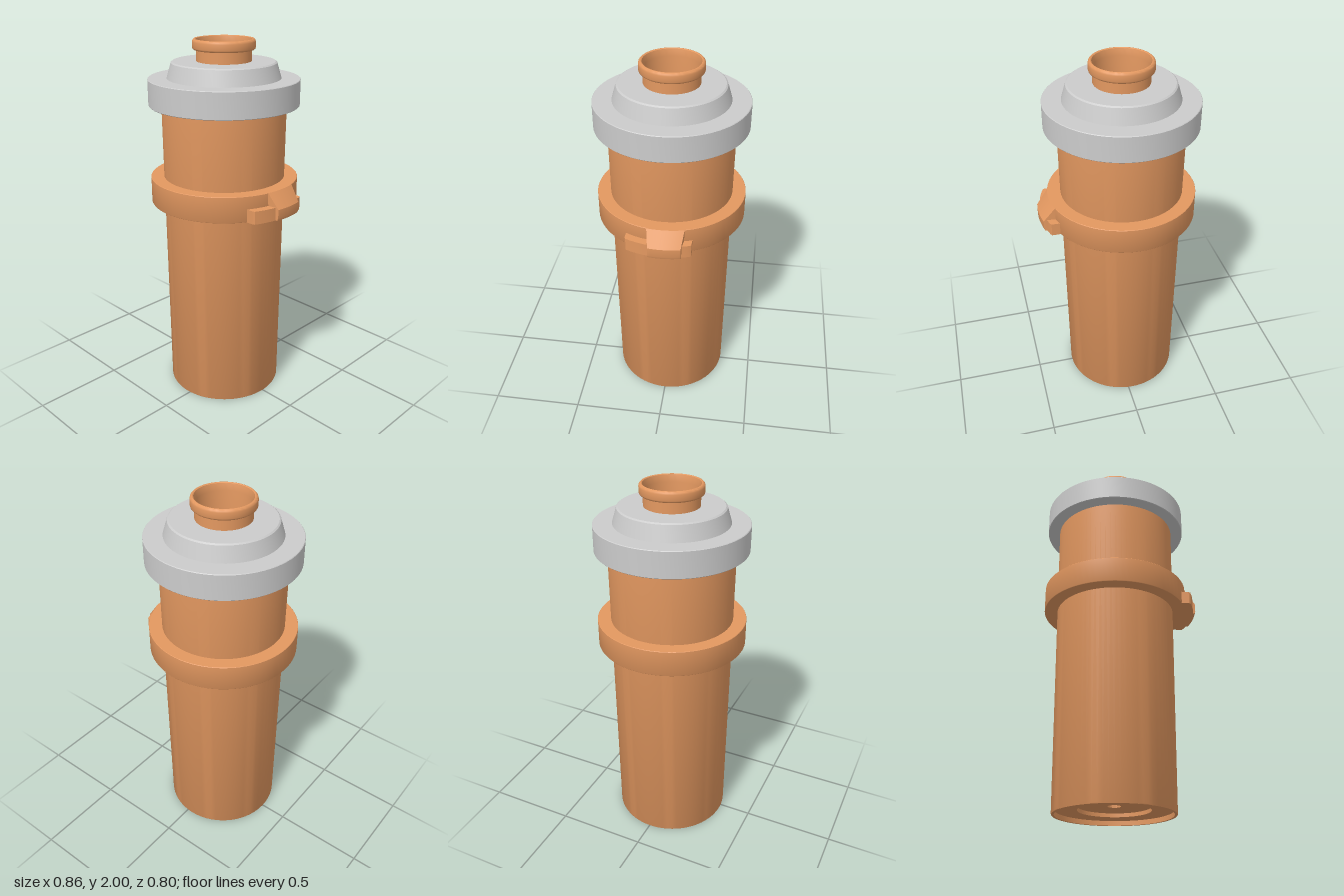
import * as THREE from 'three';
import { toCreasedNormals } from 'three/addons/utils/BufferGeometryUtils.js';

const AXIS_X = -0.03;
const orange = new THREE.MeshStandardMaterial({ color: 0xe39860 });
const grey = new THREE.MeshStandardMaterial({ color: 0xcccccc });

// Turned part from [radius, height] points, outside listed upwards
function turned(name, points, material) {
  const profile = points.map(([r, y]) => new THREE.Vector2(r, y));
  const geometry = toCreasedNormals(new THREE.LatheGeometry(profile, 72), 0.6);
  const mesh = new THREE.Mesh(geometry, material);
  mesh.name = name;
  mesh.position.x = AXIS_X;
  return mesh;
}

// Low curved plate that carries the latch, following the collar
function latchPlate() {
  const r = 0.445, z0 = -0.155, z1 = 0.19;
  const shape = new THREE.Shape();
  shape.moveTo(0.31, -z0);
  shape.lineTo(0.385, -z0);
  for (let i = 0; i <= 14; i++) {
    const z = z0 + 0.01 + (z1 - z0 - 0.015) * i / 14;
    shape.lineTo(AXIS_X + Math.sqrt(r * r - z * z), -z);
  }
  shape.lineTo(0.365, -z1);
  shape.lineTo(0.31, -z1);
  const geometry = new THREE.ExtrudeGeometry(shape, { depth: 0.07, bevelEnabled: false });
  geometry.rotateX(-Math.PI / 2);
  geometry.translate(0, 1.13, 0);
  const mesh = new THREE.Mesh(toCreasedNormals(geometry, 0.4), orange);
  mesh.name = 'latchPlate';
  return mesh;
}

// Sloped latch, bent round the collar and narrowing outwards
function latch() {
  const shape = new THREE.Shape([
    [0.33, 1.13], [0.425, 1.13], [0.43, 1.145], [0.43, 1.19], [0.372, 1.27], [0.33, 1.27],
  ].map(([x, y]) => new THREE.Vector2(x, y)));
  const z0 = -0.117, width = 0.194, R = 0.46;
  const geometry = new THREE.ExtrudeGeometry(shape, { depth: width, steps: 12, bevelEnabled: false });
  const p = geometry.attributes.position;
  for (let i = 0; i < p.count; i++) {
    const x = p.getX(i);
    const z = z0 + width / 2 + (p.getZ(i) - width / 2) * (1 - 2.2 * Math.max(0, x - 0.37));
    p.setX(i, x - (R - Math.sqrt(R * R - z * z)));
    p.setZ(i, z);
  }
  const mesh = new THREE.Mesh(toCreasedNormals(geometry, 0.4), orange);
  mesh.name = 'latch';
  return mesh;
}

export function createModel() {
  const group = new THREE.Group();
  group.name = 'container';
  group.add(
    // Tapered body with a stepped recess and a small centre hole underneath
    turned('body', [
      [0, 0.065], [0.035, 0.065], [0.035, 0.045], [0.19, 0.045], [0.19, 0.025],
      [0.305, 0.025], [0.305, 0], [0.318, 0], [0.32, 0.004], [0.334, 1.67], [0, 1.67],
    ], orange),
    turned('collar', [
      [0.31, 1.13], [0.4, 1.13], [0.402, 1.133], [0.402, 1.268], [0.4, 1.27], [0.31, 1.27],
    ], orange),
    latchPlate(),
    latch(),
    // Lid with a raised cone and an open well below the neck
    turned('lid', [
      [0.3, 1.66], [0.399, 1.66], [0.402, 1.663], [0.402, 1.797], [0.399, 1.8], [0.302, 1.8],
      [0.278, 1.88], [0.27, 1.886], [0.143, 1.886], [0.143, 1.8], [0, 1.8],
    ], grey),
    // Spout: thin neck with a rounded lip
    turned('spout', [
      [0.145, 1.8], [0.145, 1.945], [0.158, 1.945], [0.163, 1.949], [0.165, 1.955],
      [0.165, 1.985], [0.163, 1.993], [0.157, 1.999], [0.152, 2], [0.147, 1.997],
      [0.145, 1.99], [0.142, 1.96], [0.141, 1.8],
    ], orange),
  );
  return group;
}
